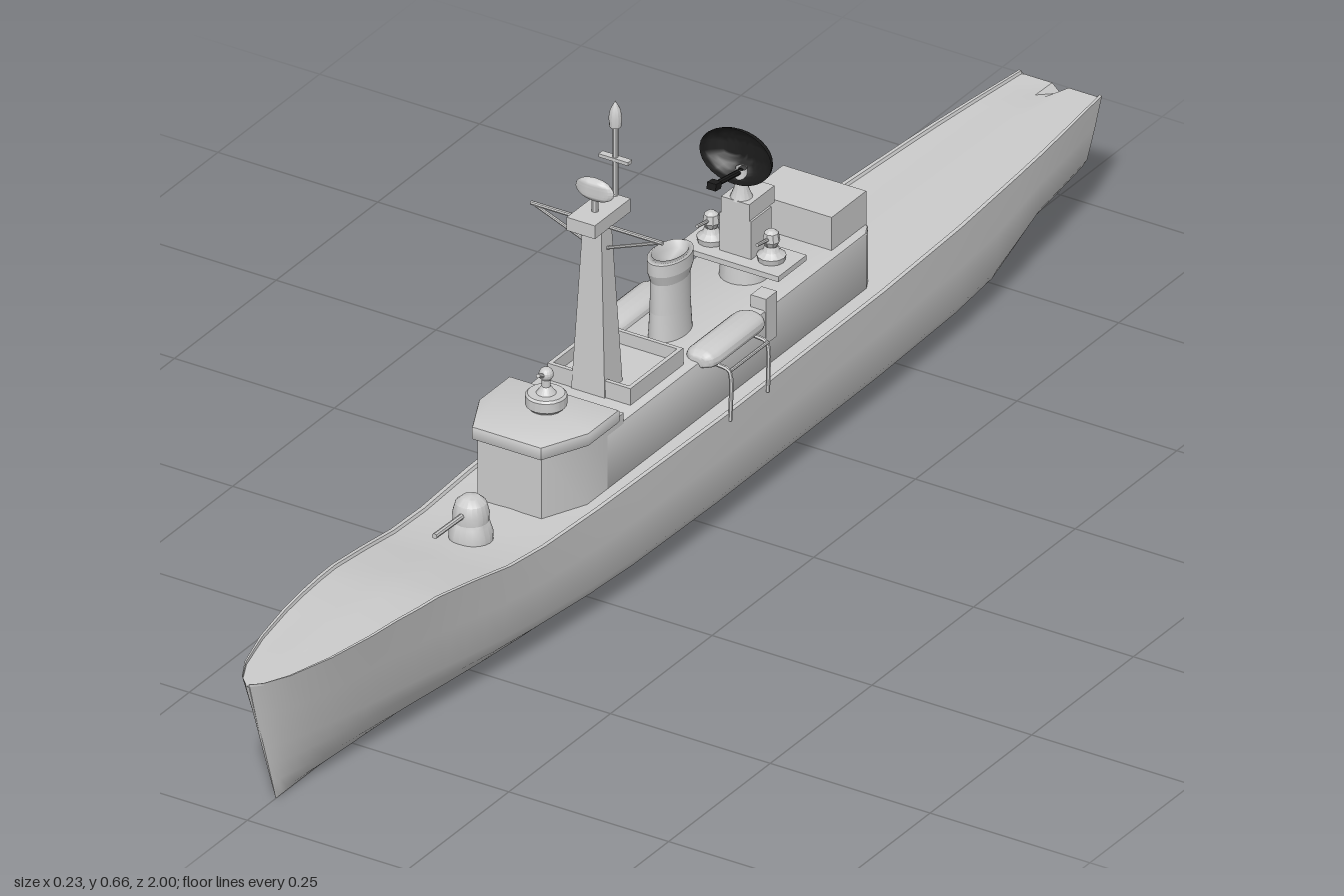
import * as THREE from 'three';
import { toCreasedNormals } from 'three/addons/utils/BufferGeometryUtils.js';

const grey = new THREE.MeshStandardMaterial({ color: 0xcccccc, side: THREE.DoubleSide });
const black = new THREE.MeshStandardMaterial({ color: 0x1a1a1a, side: THREE.DoubleSide });
const V = (x, y, z) => new THREE.Vector3(x, y, z);
const lerp = THREE.MathUtils.lerp;

// Piecewise linear lookup in [[position, value], ...]
function along(table, t) {
  for (let i = 1; i < table.length; i++) {
    const [a, va] = table[i - 1], [b, vb] = table[i];
    if (t <= b) return lerp(va, vb, Math.max(0, (t - a) / (b - a)));
  }
  return table[table.length - 1][1];
}

// Hull lofted through stations from stern to bow
function hullGeometry() {
  const beam = [[-1, .065], [-.9, .076], [-.8, .086], [-.6, .1], [-.4, .107], [0, .11], [.3, .104], [.5, .094],
    [.7, .081], [.8, .07], [.88, .056], [.95, .036], [.985, .018], [1, .003]];
  const sheer = [[-1, .17], [.42, .17], [.5, .176], [.58, .19], [.66, .202], [.75, .206], [1, .206]];
  const keel = [[-1, .052], [-.82, .05], [-.7, .004], [-.62, 0], [1, 0]];
  const full = [[0, 0], [.28, .015], [.65, .1], [.9, .22], [.98, .31], [1, .65], [1, 1]];
  const sharp = [[0, 0], [.13, .05], [.27, .15], [.42, .3], [.55, .45], [.76, .72], [1, 1]];
  const zs = [-1, -.96, -.9, -.82, -.76, -.7, -.6, -.4, -.2, 0, .2, .3, .42, .5, .54, .58, .62, .66, .7,
    .75, .8, .84, .88, .92, .95, .97, .985, .995, 1];
  const pos = [], index = [];
  let n = 0;
  zs.forEach((z) => {
    const b = along(beam, z), top = along(sheer, z), low = along(keel, z);
    const vee = Math.pow(Math.max(0, (z - .2) / .8), 1.3);
    const rake = -.07 * Math.max(0, (z - .6) / .4) + .05 * Math.max(0, (-z - .82) / .18);
    const half = full.map(([fx, fy], k) => {
      const f = lerp(fy, sharp[k][1], vee);
      return [b * lerp(fx, sharp[k][0], vee), lerp(low, top, f), z + rake * (1 - f)];
    });
    // low gunwale lip, then the deck, with a notch at the stern
    half.push([b * .94, top, z], [b * .92, top - .004, z], [b * .2, top - .004, z], [0, top - (z === -1 ? .016 : .003), z]);
    const ring = half.concat(half.slice(1, -1).reverse().map(([x, y, zz]) => [-x, y, zz]));
    n = ring.length;
    ring.forEach((p) => pos.push(...p));
  });
  for (let i = 0; i < zs.length - 1; i++) for (let j = 0; j < n; j++) {
    const a = i * n + j, b = i * n + (j + 1) % n;
    index.push(a, b, b + n, a, b + n, a + n);
  }
  // transom and stem caps
  const end = (zs.length - 1) * n;
  pos.push(0, .11, -.975, 0, .11, .968);
  for (let j = 0; j < n; j++) {
    const k = (j + 1) % n;
    index.push(end + n, k, j, end + n + 1, end + j, end + k);
  }
  const g = new THREE.BufferGeometry();
  g.setAttribute('position', new THREE.Float32BufferAttribute(pos, 3));
  g.setIndex(index);
  return g;
}

export function createModel() {
  const ship = new THREE.Group();
  ship.name = 'warship';
  const add = (name, geo, x = 0, y = 0, z = 0, mat = grey) => {
    const mesh = new THREE.Mesh(toCreasedNormals(geo, .6), mat);
    mesh.name = name;
    mesh.position.set(x, y, z);
    ship.add(mesh);
    return mesh;
  };
  // Box by half width and by ranges in y and z
  const block = (name, hw, y0, y1, z0, z1, x = 0) =>
    add(name, new THREE.BoxGeometry(hw * 2, y1 - y0, z1 - z0), x, (y0 + y1) / 2, (z0 + z1) / 2);
  const lathe = (name, pts, x, y, z, seg = 20) =>
    add(name, new THREE.LatheGeometry(pts.map((p) => new THREE.Vector2(...p)), seg), x, y, z);
  const rod = (name, a, b, r) => {
    const m = add(name, new THREE.CylinderGeometry(r, r, a.distanceTo(b), 8));
    m.position.copy(a).lerp(b, .5);
    m.quaternion.setFromUnitVectors(V(0, 1, 0), b.clone().sub(a).normalize());
    return m;
  };
  // Upright prism from a plan outline given as [x, z]
  const prism = (name, plan, y0, y1, bevel = 0) => {
    const s = new THREE.Shape(plan.map(([x, z]) => new THREE.Vector2(x, -z)));
    const g = new THREE.ExtrudeGeometry(s, { depth: y1 - y0 - 2 * bevel, bevelEnabled: bevel > 0,
      bevelSize: bevel, bevelThickness: bevel, bevelOffset: -bevel, bevelSegments: 2 });
    return add(name, g.rotateX(-Math.PI / 2), 0, y0 + bevel);
  };
  const mirrored = (half) => half.concat(half.slice().reverse().map(([x, z]) => [-x, z]));

  add('hull', hullGeometry());

  // Deckhouse and bridge
  prism('deckhouse', mirrored([[.068, -.42], [.078, -.4], [.08, .1], [.08, .24]]), .16, .25, .004);
  prism('bridge', mirrored([[.08, .2], [.08, .29], [.05, .355]]), .16, .262);
  prism('bridgeRim', mirrored([[.086, .22], [.086, .295], [.054, .363]]), .258, .278, .003);
  block('hangarHouse', .065, .245, .3, -.42, -.335);

  // Open tray at the mast foot
  block('trayFloor', .062, .248, .256, .03, .16);
  [-1, 1].forEach((s) => block('traySide', .003, .25, .275, .03, .16, s * .062));
  [.033, .157].forEach((z) => block('trayEnd', .062, .25, .275, z - .003, z + .003));

  // Forward gun
  lathe('gunBase', [[.03, 0], [.03, .012], [.026, .025], [.024, .03]], 0, .166, .45);
  lathe('gunHouse', [[.024, 0], [.025, .015], [.021, .03], [.012, .038], [0, .04]], 0, .192, .45);
  rod('gunBarrel', V(0, .21, .46), V(0, .212, .54), .004);

  // Director on the bridge roof
  lathe('directorBase', [[.022, 0], [.028, .006], [.028, .02], [.025, .023], [0, .023]], 0, .277, .265);
  lathe('directorNeck', [[.015, 0], [.006, .012], [.006, .025]], 0, .298, .265);
  add('directorBall', new THREE.SphereGeometry(.01, 14, 10), 0, .328, .265);
  rod('directorArm', V(0, .325, .265), V(0, .334, .285), .003);

  // Tapered mast with yard, platform and radar
  const mast = new THREE.CylinderGeometry(.0205, .037, .25, 4, 1);
  mast.rotateY(Math.PI / 4).scale(1, 1, .85);
  add('mast', mast, 0, .375, .14);
  block('mastPlatform', .022, .498, .518, .092, .18);
  rod('yard', V(-.103, .497, .14), V(.103, .497, .14), .003);
  [-1, 1].forEach((s) => rod('yardStrut', V(s * .1, .497, .14), V(s * .015, .464, .14), .0025));
  rod('radarPost', V(0, .515, .145), V(0, .54, .145), .005);
  add('surfaceRadar', new THREE.SphereGeometry(1, 20, 12).scale(.03, .017, .009), 0, .55, .145);
  rod('topmast', V(0, .51, .095), V(0, .625, .095), .004);
  block('topmastCrosspiece', .023, .571, .576, .09, .1);
  lathe('topmastAerial', [[0, 0], [.008, .001], [.009, .015], [.007, .027], [0, .04]], 0, .621, .095, 12);

  // Oval funnel with a flared lip
  const funnel = lathe('funnel', [[.95, 0], [.88, .04], [.86, .085], [1, .1], [1, .118], [.8, .122], [.72, .11], [0, .108]],
    0, .249, -.04, 28);
  funnel.scale.set(.026, 1, .041);

  // Boats slung from davits
  [-1, 1].forEach((s) => {
    const boat = add('boat', new THREE.CapsuleGeometry(.025, .1, 8, 16).rotateX(Math.PI / 2), s * .074, .249, -.06);
    boat.scale.y = .6;
    [-.015, -.107].forEach((z) => {
      const path = new THREE.CatmullRomCurve3([V(s * .11, .158, z), V(s * .111, .19, z), V(s * .111, .222, z),
        V(s * .108, .233, z), V(s * .095, .236, z), V(s * .06, .236, z)]);
      add('davit', new THREE.TubeGeometry(path, 20, .003, 6));
    });
    rod('davitRail', V(s * .11, .233, -.107), V(s * .11, .233, -.015), .0025);
    block('ventilator', .012, .2, .268, -.177, -.15, s * .068);
  });

  // After platform with a light gun on each side
  lathe('platformColumn', [[.034, 0], [.03, .04]], 0, .247, -.222);
  block('gunPlatform', .08, .28, .288, -.25, -.18);
  [-1, 1].forEach((s) => {
    lathe('lightGunTub', [[.018, 0], [.02, .01], [.012, .016], [.009, .024]], s * .047, .286, -.215, 12);
    lathe('lightGunMount', [[.006, 0], [.012, .01], [.01, .022], [.005, .026], [0, .026]], s * .047, .307, -.215, 8);
    rod('lightGunBarrel', V(s * .047, .32, -.22), V(s * .047, .326, -.18), .0025);
  });
  block('platformHouse', .025, .285, .345, -.25, -.2);
  block('radarDeck', .022, .345, .37, -.262, -.2);
  lathe('radarPedestal', [[.016, 0], [.01, .015], [.008, .045]], 0, .368, -.215, 14);

  // Curved air search radar and its feed
  const dish = new THREE.SphereGeometry(1, 28, 12, 0, Math.PI * 2, 0, Math.PI / 2);
  dish.rotateX(-Math.PI / 2).scale(.056, .039, .03);
  const radar = add('searchRadar', dish, 0, .436, -.2, black);
  radar.rotation.x = -.12;
  const feed = rod('radarFeed', V(0, .408, -.215), V(0, .418, -.148), .004);
  feed.material = black;
  const horn = add('feedHorn', new THREE.BoxGeometry(.014, .01, .014), 0, .418, -.148, black);
  horn.rotation.x = -.12;

  return ship;
}
